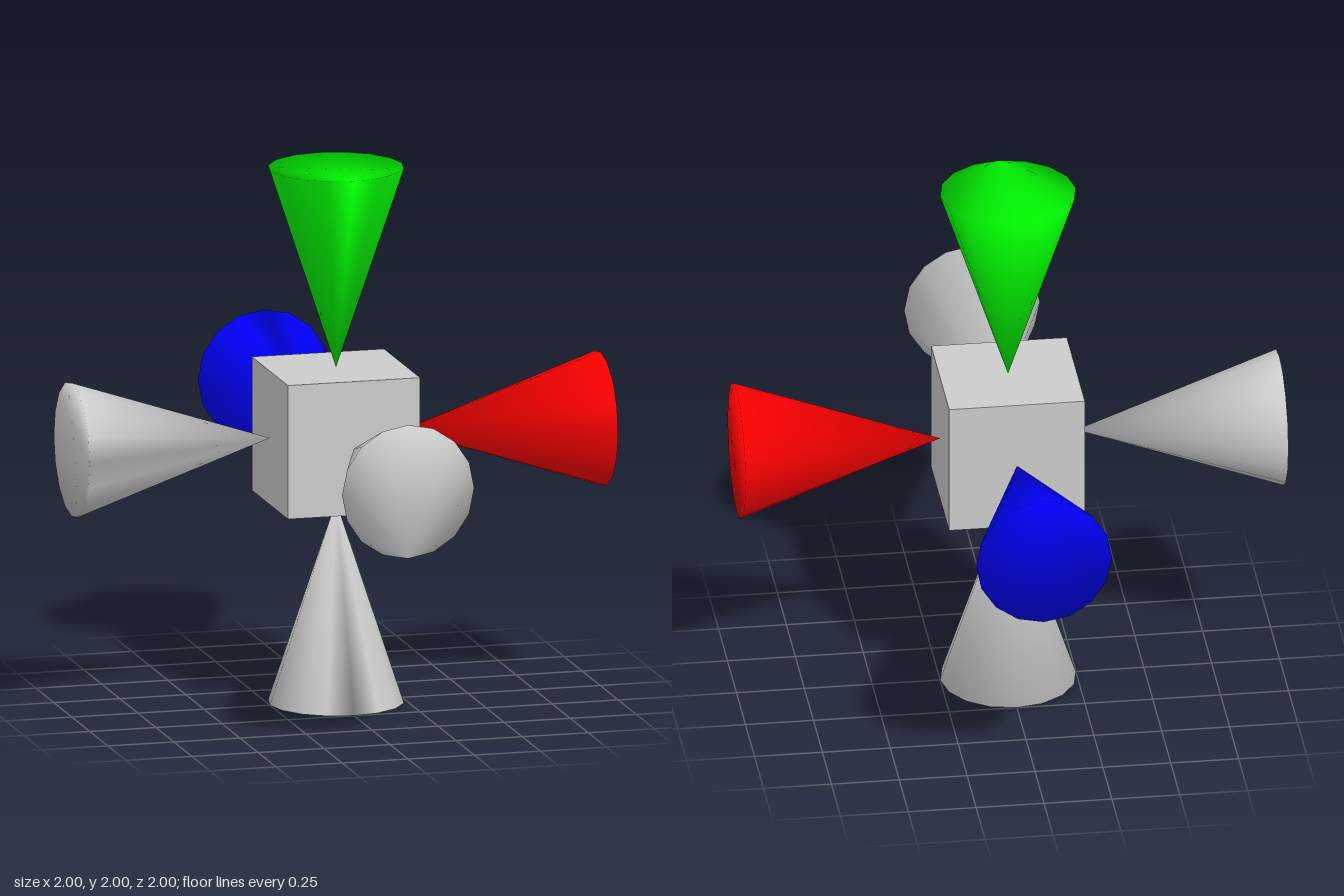
import * as THREE from 'three';

const SIDES = 16, RADIUS = 0.25, TIP = 0.25, END = 1;

// Cone along +y, tip towards the hub, with normals blended over the capped base edge
function coneGeometry() {
  const points = [0, TIP, 0];
  const index = [];
  for (let i = 0; i < SIDES; i++) {
    const a = (i / SIDES) * Math.PI * 2;
    points.push(RADIUS * Math.sin(a), END, RADIUS * Math.cos(a));
    index.push(0, 1 + ((i + 1) % SIDES), 1 + i);
  }
  // Base cap
  for (let i = 1; i < SIDES - 1; i++) index.push(1, 1 + i, 2 + i);
  const geometry = new THREE.BufferGeometry();
  geometry.setAttribute('position', new THREE.Float32BufferAttribute(points, 3));
  geometry.setIndex(index);
  geometry.computeVertexNormals();
  return geometry;
}

export function createModel() {
  const model = new THREE.Group();
  const material = (color) => new THREE.MeshStandardMaterial({ color });
  const grey = material(0xcccccc);

  // Central cube
  const hub = new THREE.Mesh(new THREE.BoxGeometry(0.5, 0.5, 0.5), grey);
  hub.name = 'hubCube';
  hub.position.y = 1;
  model.add(hub);

  // Six cones, one per axis direction
  const cone = coneGeometry();
  const up = new THREE.Vector3(0, 1, 0);
  const arms = [
    ['leftCone', [1, 0, 0], material(0xff0000)],
    ['rightCone', [-1, 0, 0], grey],
    ['topCone', [0, 1, 0], material(0x00ff00)],
    ['bottomCone', [0, -1, 0], grey],
    ['frontCone', [0, 0, 1], grey],
    ['backCone', [0, 0, -1], material(0x0000ff)],
  ];
  for (const [name, direction, mat] of arms) {
    const arm = new THREE.Mesh(cone, mat);
    arm.name = name;
    arm.quaternion.setFromUnitVectors(up, new THREE.Vector3(...direction));
    arm.position.y = 1;
    model.add(arm);
  }
  return model;
}
